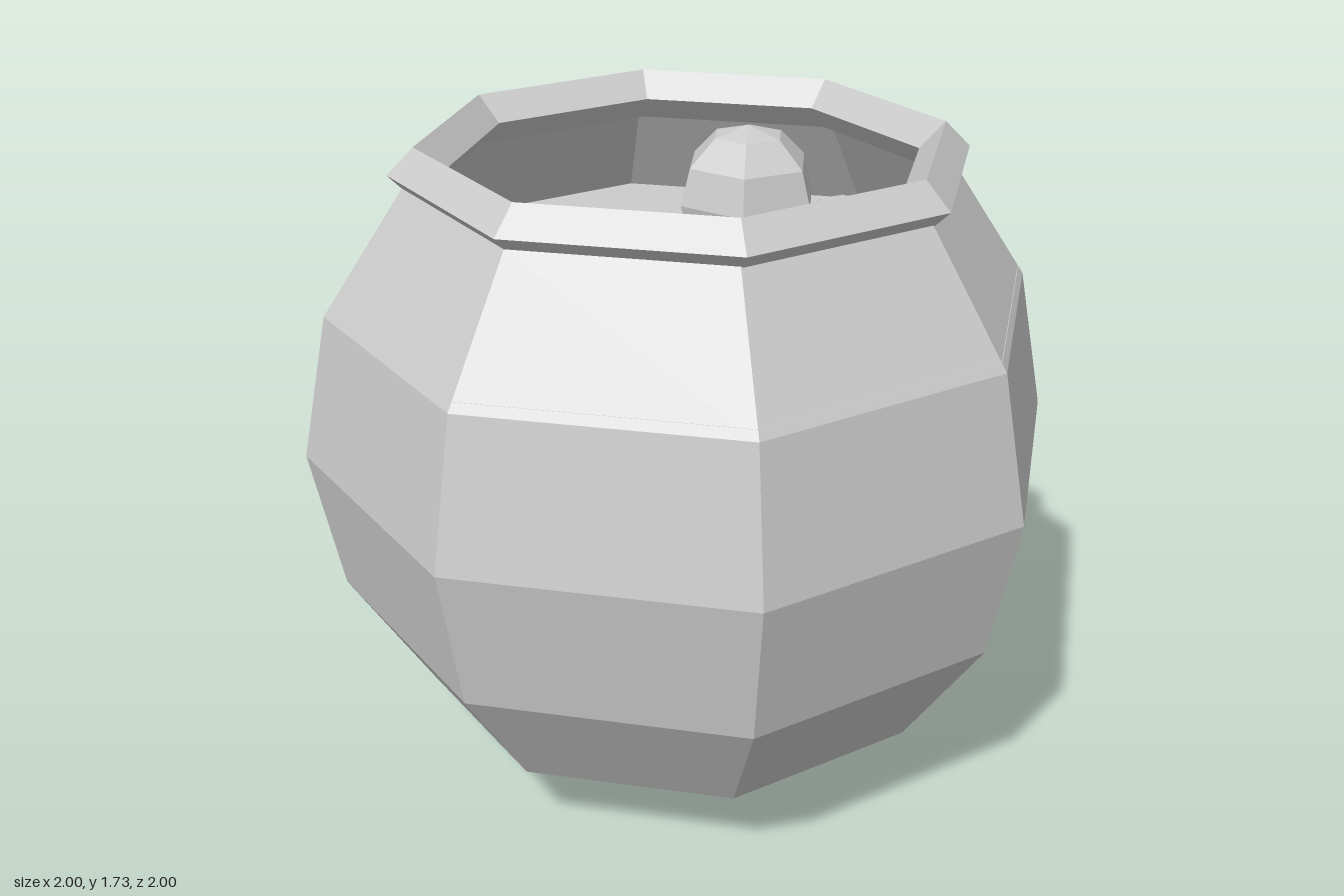
import * as THREE from 'three';

export function createModel() {
  const model = new THREE.Group();
  const material = new THREE.MeshStandardMaterial({ color: 0xcccccc, flatShading: true });
  const openMaterial = material.clone();
  openMaterial.side = THREE.DoubleSide;

  const add = (name, geometry, x, y, z, mat = material) => {
    const mesh = new THREE.Mesh(geometry, mat);
    mesh.name = name;
    mesh.position.set(x, y, z);
    model.add(mesh);
    return mesh;
  };

  // Eight-sided pot: a sphere cut off at the mouth and at the foot
  const centreY = Math.cos(Math.PI / 8);
  const step = Math.PI / 8;
  add('potBody', new THREE.SphereGeometry(1, 8, 5, 0, Math.PI * 2, 2 * step, 5 * step),
    0, centreY, 0, openMaterial);

  // Flat foot closing the bottom
  const foot = add('potBottom', new THREE.CircleGeometry(Math.sin(step), 8), 0, 0, 0);
  foot.rotation.x = Math.PI / 2;

  // Rim with a diamond cross-section
  const rim = add('rim', new THREE.TorusGeometry(0.68, 0.068, 4, 8), 0, 1.664, -0.008);
  rim.rotation.x = -Math.PI / 2;

  // Liquid surface inside the pot
  const liquid = add('liquid', new THREE.CircleGeometry(0.91, 8), 0, 1.33, 0);
  liquid.rotation.x = -Math.PI / 2;

  // Bubbles rising through the liquid: x, y, z, radius, turn
  const bubbles = [
    [-0.04, 1.47, -0.36, 0.2, 0],
    [0.265, 1.395, -0.35, 0.135, 0],
    [0.14, 1.38, -0.225, 0.095, Math.PI / 6],
    [-0.11, 1.405, 0.36, 0.17, 0],
  ];
  for (const [x, y, z, radius, turn] of bubbles) {
    add('bubble', new THREE.SphereGeometry(radius, 6, 6), x, y, z).rotation.y = turn;
  }

  return model;
}
